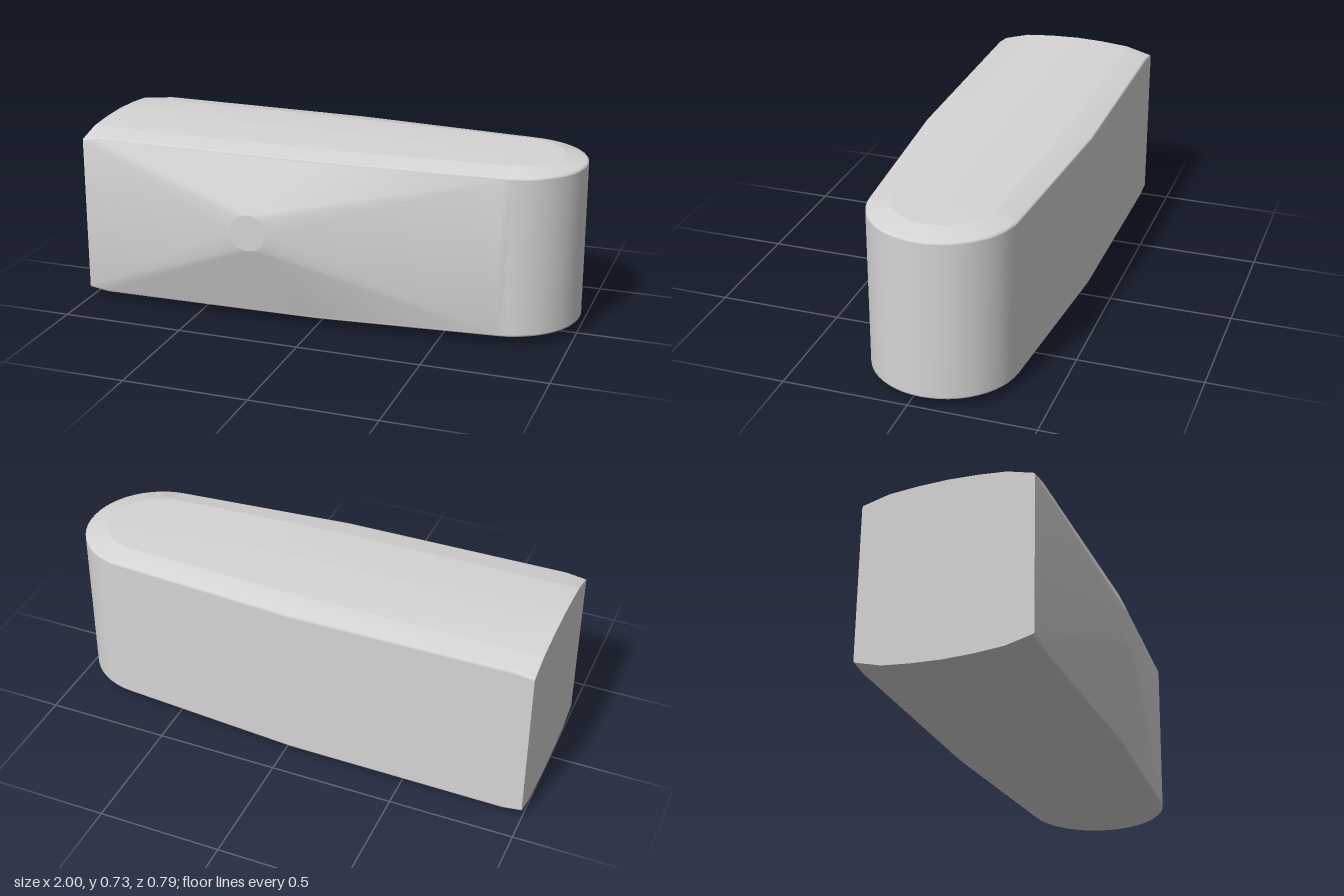
import * as THREE from 'three';
import { toCreasedNormals } from 'three/addons/utils/BufferGeometryUtils.js';

const HEIGHT = 0.73, AXIS_Z = -0.0525, ARC_X = 0.71, ARC_R = 0.29, ARC_STEPS = 24;

// Plan outline from the front left corner, around the rounded end, to the back corner
function planOutline() {
  const points = [[-1, 0.29], [-0.92, 0.29], [0, 0.29]];
  for (let i = 0; i <= ARC_STEPS; i++) {
    const a = THREE.MathUtils.degToRad(4 + (172 * i) / ARC_STEPS);
    points.push([ARC_X + ARC_R * Math.sin(a), AXIS_Z + ARC_R * Math.cos(a)]);
  }
  points.push([-0.03, -0.395], [-0.92, -0.395], [-1, -0.395]);
  return points;
}

// Rings from the wall edge over a soft bevel and sloping rim to the crown
const rimY = (x) => 0.7 - 0.007 * (x + 1) - (x < -0.97 ? 0.012 : 0);
const insetY = (x) => 0.716 - 0.004 * (x + 1);
const ridgeY = (x) => HEIGHT - 0.0105 * (x + 1);
const rings = [
  { f: 1, y: (x) => rimY(x) - 0.009 },
  { f: 1, y: (x) => rimY(x) - 0.005 },
  { f: 0.985, y: rimY },
  { f: 0.96, y: (x) => THREE.MathUtils.lerp(rimY(x), insetY(x), 0.08) },
  { f: 0.68, y: insetY },
  { f: 0.35, y: (x) => THREE.MathUtils.lerp(ridgeY(x), insetY(x), 0.3) },
  { f: 0, y: ridgeY },
];
const INSET = 4;

function ringPoint([x, z], ring, top) {
  const px = THREE.MathUtils.lerp(Math.min(x, ARC_X), x, ring.f);
  const y = ring.y(px);
  return new THREE.Vector3(px, top ? y : HEIGHT - y, THREE.MathUtils.lerp(AXIS_Z, z, ring.f));
}

function meshFrom(triangles, name, material, crease) {
  const geometry = new THREE.BufferGeometry().setFromPoints(triangles);
  const mesh = new THREE.Mesh(toCreasedNormals(geometry, THREE.MathUtils.degToRad(crease)), material);
  mesh.name = name;
  return mesh;
}

export function createModel() {
  const group = new THREE.Group();
  group.name = 'taperedBlock';
  const grey = new THREE.MeshStandardMaterial({ color: 0xd5d5d5 });
  grey.name = 'plain light grey';

  // Each column runs from the bottom ridge, up the wall, to the top ridge
  const columns = planOutline().map((p) => [
    ...rings.map((r) => ringPoint(p, r, false)).reverse(),
    ...rings.map((r) => ringPoint(p, r, true)),
  ]);
  const last = columns.length - 1, low = rings.length - 1, high = rings.length, panelEnd = 3;

  // Skin between two rows of the columns
  function strip(fromRow, toRow, fromColumn = 0) {
    const triangles = [];
    for (let u = fromColumn; u < last; u++) {
      for (let v = fromRow; v < toRow; v++) {
        const a = columns[u][v], b = columns[u + 1][v];
        const c = columns[u + 1][v + 1], d = columns[u][v + 1];
        triangles.push(a, b, c, a, c, d);
      }
    }
    return triangles;
  }

  // Domed crowns and soft rims, top and bottom
  group.add(meshFrom(strip(high + INSET, high + low), 'topCrown', grey, 25));
  group.add(meshFrom(strip(high, high + INSET), 'topRim', grey, 60));
  group.add(meshFrom(strip(low - INSET, low), 'bottomRim', grey, 60));
  group.add(meshFrom(strip(0, low - INSET), 'bottomCrown', grey, 25));

  // Flat end
  const endLoop = [...columns[0], ...[...columns[last]].reverse()];
  const endCentre = new THREE.Vector3(-1, HEIGHT / 2, AXIS_Z);
  const end = [];
  endLoop.forEach((p, i) => end.push(endCentre, p, endLoop[(i + 1) % endLoop.length]));
  group.add(meshFrom(end, 'flatEnd', grey, 25));

  // Walls, with a four-sided front panel that slopes out to a small disc
  const quarter = 8;
  const centre = new THREE.Vector3(-0.24, 0.405, 0.395);
  const circle = [];
  for (let i = 0; i < quarter * 4; i++) {
    const a = -Math.PI / 2 + (i / (quarter * 4)) * Math.PI * 2;
    circle.push(new THREE.Vector3(centre.x + 0.075 * Math.cos(a), centre.y + 0.075 * Math.sin(a), centre.z));
  }
  const bottomEdge = [], topEdge = [];
  for (let u = 0; u <= panelEnd; u++) {
    bottomEdge.push(columns[u][low]);
    topEdge.unshift(columns[u][high]);
  }
  const edges = [bottomEdge, [bottomEdge[panelEnd], topEdge[0]], topEdge, [topEdge[panelEnd], bottomEdge[0]]];
  const walls = strip(low, high, panelEnd);
  edges.forEach((edge, side) => {
    const start = side * quarter;
    for (let i = 0; i < edge.length - 1; i++) walls.push(edge[i], edge[i + 1], circle[start]);
    const corner = edge[edge.length - 1];
    for (let k = start; k < start + quarter; k++) {
      walls.push(circle[k], corner, circle[(k + 1) % circle.length]);
    }
  });
  group.add(meshFrom(walls, 'walls', grey, 25));

  // Disc at the tip of the panel
  const disc = [];
  circle.forEach((p, i) => disc.push(centre, p, circle[(i + 1) % circle.length]));
  group.add(meshFrom(disc, 'frontDisc', grey, 25));

  return group;
}
